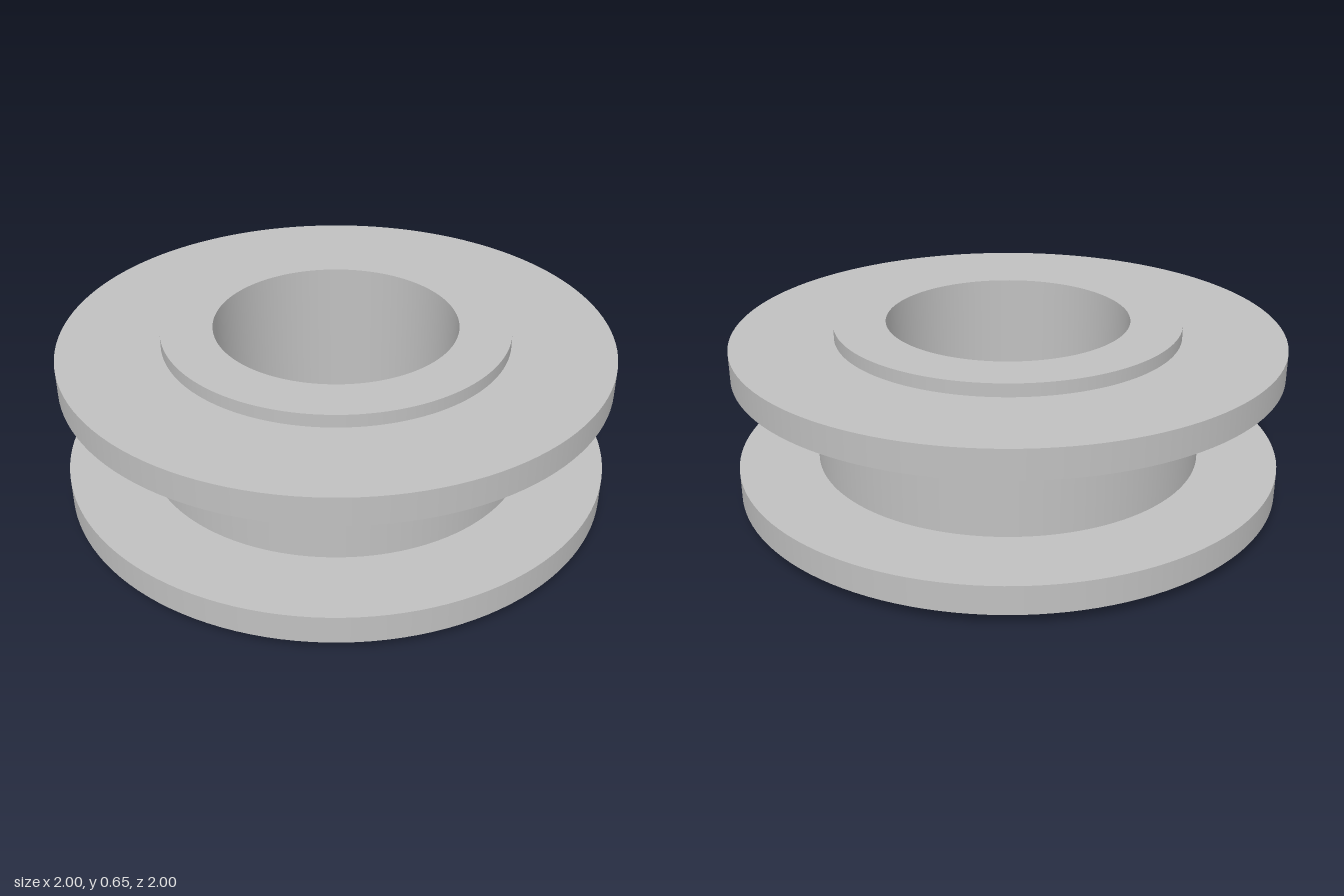
import * as THREE from 'three';
import { mergeGeometries } from 'three/addons/utils/BufferGeometryUtils.js';

const SEGMENTS = 128;
const BORE = 0.443, BOSS = 0.63, CORE = 0.71, RIM = 1;
const HEIGHT = 0.655;
const FLANGE_LOW = 0.047, FLANGE_HIGH = 0.15;

// Revolve each profile segment on its own so the corners stay sharp
function turned(profile) {
  const bands = [];
  for (let i = 0; i < profile.length - 1; i++) {
    const pair = [profile[i], profile[i + 1]].map(([r, y]) => new THREE.Vector2(r, y));
    bands.push(new THREE.LatheGeometry(pair, SEGMENTS));
  }
  return mergeGeometries(bands);
}

// Mirror a bottom profile to the top, keeping the faces outward
const flip = (profile) => profile.map(([r, y]) => [r, HEIGHT - y]).reverse();

export function createModel() {
  const model = new THREE.Group();
  model.name = 'flangedRoller';
  const metal = new THREE.MeshStandardMaterial({ color: 0xc0c0c0 });
  metal.name = 'grey metal';

  const add = (name, profile) => {
    const mesh = new THREE.Mesh(turned(profile), metal);
    mesh.name = name;
    model.add(mesh);
  };

  // Raised boss around the bore and wide flange, on both ends
  const boss = [[BORE, 0], [BOSS, 0], [BOSS, FLANGE_LOW]];
  const flange = [[BOSS, FLANGE_LOW], [RIM, FLANGE_LOW], [RIM, FLANGE_HIGH], [CORE, FLANGE_HIGH]];
  add('bottomBoss', boss);
  add('topBoss', flip(boss));
  add('bottomFlange', flange);
  add('topFlange', flip(flange));

  // Drum between the flanges
  add('drum', [[CORE, FLANGE_HIGH], [CORE, HEIGHT - FLANGE_HIGH]]);

  // Through hole, facing the axis
  add('bore', [[BORE, HEIGHT], [BORE, 0]]);

  return model;
}
